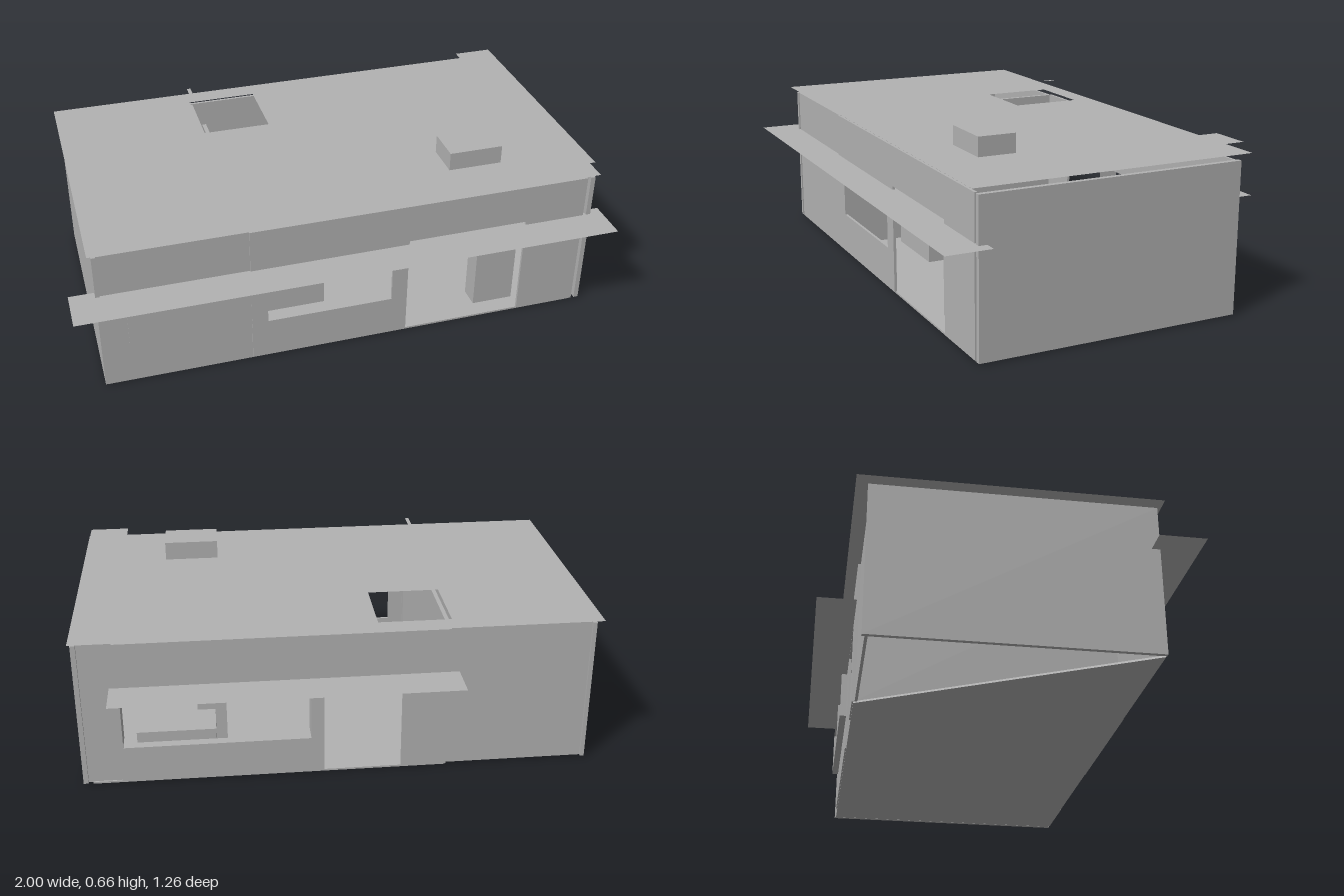
import * as THREE from 'three';

const plaster = new THREE.MeshStandardMaterial({ color: 0xb2b2b2, side: THREE.DoubleSide });
plaster.name = 'grey plaster';

export function createModel() {
  const house = new THREE.Group();
  house.name = 'house';

  const add = (name, geometry) => {
    const mesh = new THREE.Mesh(geometry, plaster);
    mesh.name = name;
    house.add(mesh);
    return mesh;
  };
  const box = (name, x0, x1, y0, y1, z0, z1) =>
    add(name, new THREE.BoxGeometry(x1 - x0, y1 - y0, z1 - z0))
      .position.set((x0 + x1) / 2, (y0 + y1) / 2, (z0 + z1) / 2);
  const corners = (a0, a1, b0, b1) =>
    [[a0, b0], [a1, b0], [a1, b1], [a0, b1]].map(p => new THREE.Vector2(...p));
  const rectShape = (r, holes = []) => {
    const shape = new THREE.Shape(corners(...r));
    holes.forEach(h => shape.holes.push(new THREE.Path(corners(...h))));
    return shape;
  };
  // Horizontal sheet given as [x0, x1, z0, z1]
  const sheet = (name, y, r, holes) =>
    add(name, new THREE.ShapeGeometry(rectShape(r, holes)).rotateX(Math.PI / 2)).position.y = y;
  // Upright sheet facing sideways
  const fin = (name, x, y0, y1, z0, z1) => {
    const g = new THREE.PlaneGeometry(z1 - z0, y1 - y0).rotateY(Math.PI / 2);
    add(name, g).position.set(x, (y0 + y1) / 2, (z0 + z1) / 2);
  };
  // Wall facing front or back, with openings [x0, x1, y0, y1]
  const wall = (name, z, r, holes) =>
    add(name, new THREE.ExtrudeGeometry(rectShape(r, holes), { depth: 0.01, bevelEnabled: false }))
      .position.z = z;

  const H = 0.56;

  // Floor slab with one corner cut off diagonally
  const slab = new THREE.Shape([[0.92, -0.485], [0.92, 0.49], [-0.9, 0.49], [-0.376, -0.485]]
    .map(p => new THREE.Vector2(...p)));
  add('floor', new THREE.ExtrudeGeometry(slab, { depth: 0.007, bevelEnabled: false })
    .rotateX(Math.PI / 2)).position.y = 0.007;

  // Side walls and the inner partition
  box('leftWall', 0.937, 0.955, 0.005, H, -0.49, 0.495);
  box('rightWall', -0.91, -0.895, 0.005, H, -0.49, 0.495);
  box('partition', -0.385, -0.37, 0.008, H, -0.475, 0.48);

  // Front wall: side room, main room with window and door
  wall('frontWallSideRoom', 0.48, [-0.895, -0.365, 0.005, H]);
  box('frontShutter', -0.81, -0.36, 0.16, 0.34, 0.488, 0.494);
  wall('frontWallMain', 0.485, [-0.365, 0.23, 0.005, H], [[-0.305, 0.17, 0.16, 0.34]]);
  wall('frontDoorLintel', 0.485, [0.23, 0.69, 0.41, H]);
  wall('frontWallEnd', 0.485, [0.69, 0.925, 0.005, H]);

  // Back wall: side room, door and wide window
  wall('backWallSideRoom', -0.48, [-0.895, -0.38, 0.005, H]);
  wall('backWallPier', -0.49, [-0.38, -0.21, 0.005, H]);
  wall('backDoorLintel', -0.49, [-0.21, 0.075, 0.385, H]);
  wall('backWallMain', -0.49, [0.075, 0.815, 0.005, H], [[0.125, 0.8, 0.16, 0.34]]);
  wall('backWallEnd', -0.48, [0.815, 0.937, 0.005, H]);

  // Projecting frame of the back window
  for (const x of [0.125, 0.44, 0.8]) fin('windowFin', x, 0.16, 0.34, -0.515, -0.44);
  for (const y of [0.16, 0.34]) sheet('windowLedge', y, [0.125, 0.8, -0.515, -0.48]);

  // Roof with skylight, raised strips and chimney
  sheet('roof', 0.583, [-0.925, 0.96, -0.53, 0.52], [[-0.385, -0.12, -0.455, -0.19]]);
  sheet('roofEndStrip', 0.622, [0.797, 0.947, -0.5, 0.49]);
  sheet('roofJointFront', 0.622, [-0.385, -0.37, -0.19, 0.49]);
  sheet('roofJointBack', 0.622, [-0.385, -0.37, -0.5, -0.455]);
  box('chimney', 0.432, 0.636, 0.59, 0.66, 0.205, 0.345);

  // Flat canopies
  sheet('frontCanopy', 0.396, [-1, 1, 0.465, 0.63]);
  sheet('backCanopy', 0.39, [-0.415, 0.835, -0.635, -0.49]);

  // Furniture
  box('frontTable', -0.32, -0.02, 0.008, 0.15, 0.1, 0.25);
  box('backTable', 0.467, 0.757, 0.008, 0.16, -0.41, -0.26);
  box('cabinet', 0.425, 0.535, 0.008, 0.265, -0.236, -0.16);
  box('doorCupboard', 0.535, 0.695, 0.012, 0.275, 0.35, 0.43);

  return house;
}
